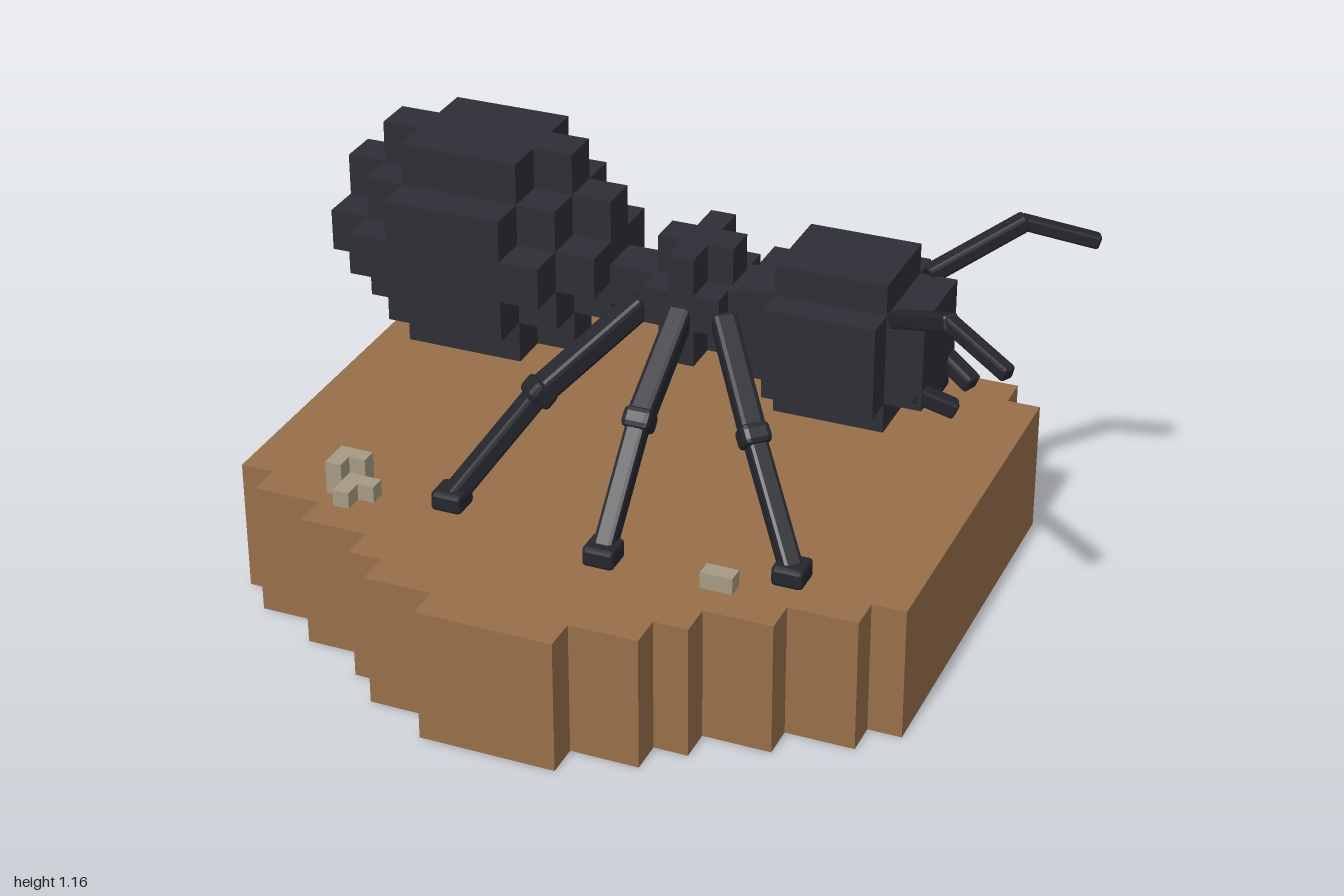
import * as THREE from 'three';
import { mergeGeometries } from 'three/addons/utils/BufferGeometryUtils.js';
import { RoundedBoxGeometry } from 'three/addons/geometries/RoundedBoxGeometry.js';

const paint = (name, color) => {
  const m = new THREE.MeshStandardMaterial({ color, flatShading: true });
  m.name = name;
  return m;
};
const V = (x, y, z) => new THREE.Vector3(x, y, z);

export function createModel() {
  const shell = paint('dark shell', 0x2d2e36);
  const limb = paint('limb black', 0x25262d);
  const soil = paint('brown soil', 0x976e49);
  const stone = paint('grey stone', 0xa59a82);
  const model = new THREE.Group();
  const CZ = -0.005; // body centre line

  const add = (name, geometry, material, parent = model) => {
    const mesh = new THREE.Mesh(geometry, material);
    mesh.name = name;
    parent.add(mesh);
    return mesh;
  };

  // Box given by its low and high corners
  const span = (x0, x1, y0, y1, z0, z1) =>
    new THREE.BoxGeometry(x1 - x0, y1 - y0, z1 - z0)
      .translate((x0 + x1) / 2, (y0 + y1) / 2, (z0 + z1) / 2);

  // Ellipsoid made of blocks: one run of blocks along x for each row
  const blockEllipsoid = (name, centre, cells, size) => {
    const [nx, ny, nz] = cells;
    const step = size.map((s, i) => s / cells[i]);
    const runs = [];
    for (let j = -(ny - 1) / 2; j <= (ny - 1) / 2; j++) {
      for (let k = -(nz - 1) / 2; k <= (nz - 1) / 2; k++) {
        const left = 1 - (2 * j / ny) ** 2 - (2 * k / nz) ** 2;
        if (left < 0) continue;
        const reach = Math.floor(Math.sqrt(left) * nx / 2);
        runs.push(new THREE.BoxGeometry((2 * reach + 1) * step[0], step[1], step[2])
          .translate(centre[0], centre[1] + j * step[1], centre[2] + k * step[2]));
      }
    }
    add(name, mergeGeometries(runs), shell);
  };

  // Bevelled square bar between two points
  const bar = (name, a, b, width, parent, extra = 0) => {
    const geometry = new RoundedBoxGeometry(width, width, a.distanceTo(b) + extra, 1, width * 0.2);
    const mesh = add(name, geometry, limb, parent);
    mesh.position.copy(a).lerp(b, 0.5);
    mesh.lookAt(b);
  };

  // Stepped ground slab: [half width, z] of each step
  const steps = [[0.91, 0.545], [0.82, 0.636], [0.637, 0.727], [0.455, 0.818], [0.364, 0.909], [0.182, 1]];
  const quarter = steps.flatMap(([w, z], i) => [[w, i ? steps[i - 1][1] : 0], [w, z]]).slice(1);
  const mirrored = [...quarter].reverse();
  const outline = [
    ...quarter,
    ...mirrored.map(([x, z]) => [-x, z]),
    ...quarter.map(([x, z]) => [-x, -z]),
    ...mirrored.map(([x, z]) => [x, -z]),
  ].map(([x, z]) => new THREE.Vector2(x - 0.09, z));
  add('ground', new THREE.ExtrudeGeometry(new THREE.Shape(outline), { depth: 0.365, bevelEnabled: false })
    .rotateX(-Math.PI / 2), soil);

  // Body
  blockEllipsoid('abdomen', [-0.539, 0.885, CZ], [7, 5, 5], [0.745, 0.56, 0.54]);
  blockEllipsoid('thorax', [0.063, 0.83, CZ], [3, 3, 3], [0.205, 0.3, 0.285]);
  blockEllipsoid('head', [0.455, 0.795, CZ], [5, 5, 5], [0.49, 0.41, 0.423]);
  add('waist', span(-0.22, -0.02, 0.77, 0.88, CZ - 0.063, CZ + 0.063), shell);
  add('neck', span(0.15, 0.23, 0.77, 0.88, CZ - 0.08, CZ + 0.08), shell);

  // Legs, antennae and jaws on both sides
  for (const side of [-1, 1]) {
    const P = (x, y, z) => V(x, y, CZ + side * z);
    for (const along of [-1, 0, 1]) {
      const leg = new THREE.Group();
      leg.name = ['backLeg', 'middleLeg', 'frontLeg'][along + 1];
      model.add(leg);
      const X = 0.055;
      const hip = P(X + along * 0.115, 0.815, 0.12);
      const knee = P(X + along * 0.29, 0.645, along ? 0.355 : 0.39);
      const ankle = P(X + along * 0.455, 0.4, along ? 0.52 : 0.61);
      bar('upperLeg', hip, knee, 0.064, leg, 0.02);
      bar('lowerLeg', knee, ankle, 0.054, leg, 0.02);
      const dir = ankle.clone().sub(knee).normalize().multiplyScalar(0.028);
      bar('knee', knee.clone().sub(dir), knee.clone().add(dir), 0.076, leg);
      const foot = add('foot', new RoundedBoxGeometry(0.084, 0.054, 0.084, 1, 0.011), limb, leg);
      foot.position.set(X + along * 0.46, 0.392, CZ + side * (along ? 0.525 : 0.62));
    }
    const elbow = P(0.815, 1.025, 0.295);
    bar('antennaBase', P(0.63, 0.92, 0.135), elbow, 0.044, model, 0.02);
    bar('antennaTip', elbow, P(0.985, 0.967, 0.378), 0.038, model, 0.015);
    bar('jaw', P(0.67, 0.715, 0.11), P(0.772, 0.663, 0.068), 0.046, model);
  }

  // Pebbles
  const g = 0.364, low = 0.41, high = 0.456;
  const pebbles = {
    rightPebble: [[-0.73, -0.64, g, high, 0.495, 0.54], [-0.73, -0.685, g, high, 0.54, 0.585],
      [-0.685, -0.595, g, low, 0.54, 0.585], [-0.685, -0.64, g, low, 0.585, 0.635]],
    leftPebble: [[0.32, 0.405, g, low, 0.59, 0.636]],
    backPebble: [[-0.09, -0.045, g, low, -0.775, -0.69], [-0.045, 0.045, g, high, -0.775, -0.69]],
  };
  for (const [name, boxes] of Object.entries(pebbles)) {
    add(name, mergeGeometries(boxes.map((b) => span(...b))), stone);
  }
  return model;
}
